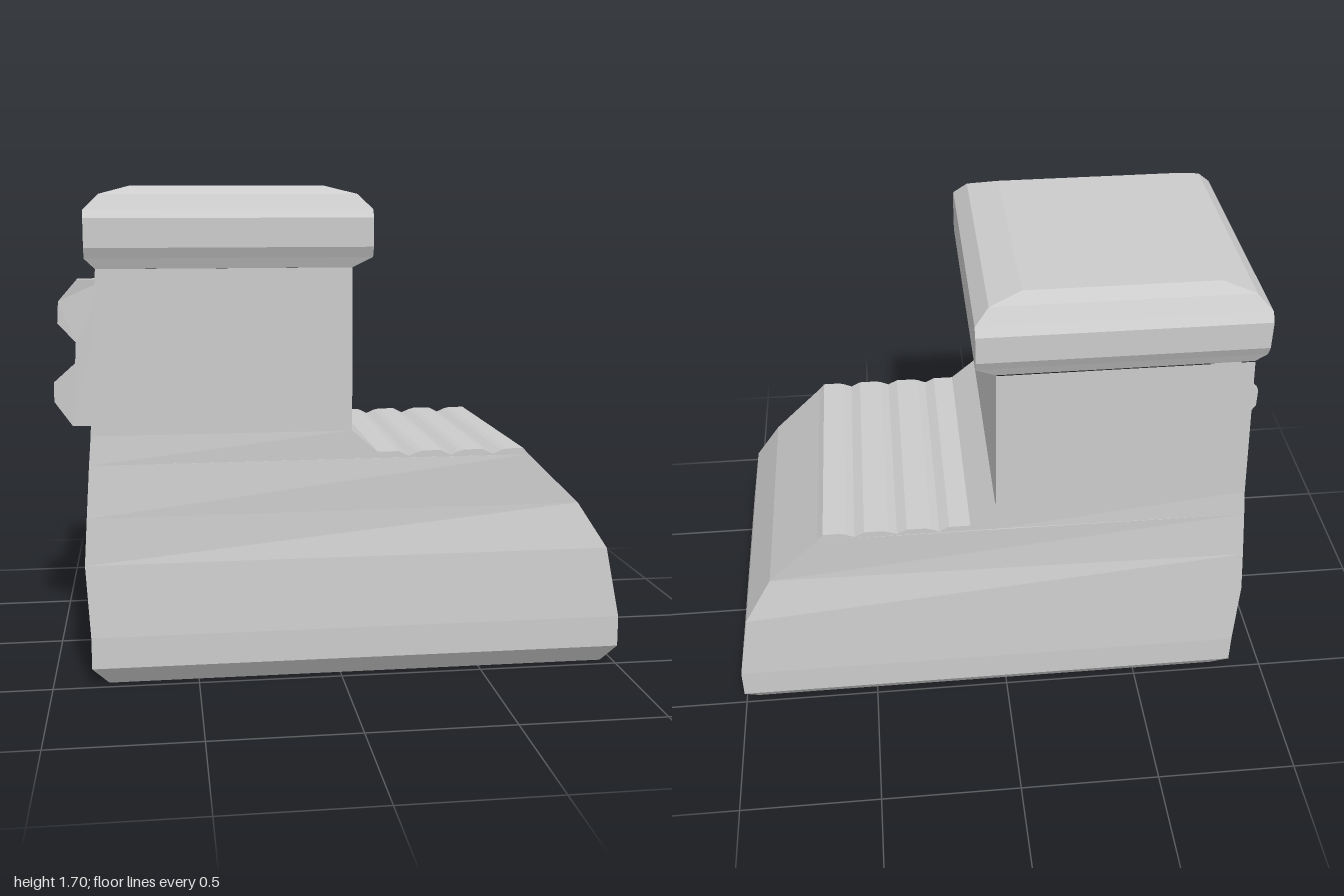
import * as THREE from 'three';

const material = new THREE.MeshStandardMaterial({ color: 0xcccccc, flatShading: true });
const Z0 = -0.005; // slight sideways offset of the upper parts

// Stacks four-cornered sections: [y, xBack, xFront, halfWidthBack, halfWidthFront = halfWidthBack]
function loft(name, rows, { top = false, bottom = false } = {}) {
  const rings = rows.map(([y, xb, xf, wb, wf = wb]) => [
    [xb, y, Z0 + wb], [xf, y, Z0 + wf], [xf, y, Z0 - wf], [xb, y, Z0 - wb],
  ]);
  const pos = [];
  const quad = (a, b, c, d) => pos.push(...a, ...b, ...c, ...a, ...c, ...d);
  for (let i = 0; i + 1 < rings.length; i++) {
    const lo = rings[i], hi = rings[i + 1];
    for (let k = 0; k < 4; k++) {
      const n = (k + 1) % 4;
      quad(lo[k], lo[n], hi[n], hi[k]);
    }
  }
  if (top) quad(...rings[rings.length - 1]);
  if (bottom) quad(...[...rings[0]].reverse());
  const geo = new THREE.BufferGeometry();
  geo.setAttribute('position', new THREE.Float32BufferAttribute(pos, 3));
  geo.computeVertexNormals();
  const mesh = new THREE.Mesh(geo, material);
  mesh.name = name;
  return mesh;
}

// Extrudes a side outline to both sides of z = 0
function slab(name, points, halfWidth) {
  const shape = new THREE.Shape(points.map(([x, y]) => new THREE.Vector2(x, y)));
  const geo = new THREE.ExtrudeGeometry(shape, { depth: 2 * halfWidth, bevelEnabled: false });
  geo.translate(0, 0, -halfWidth);
  const mesh = new THREE.Mesh(geo, material);
  mesh.name = name;
  return mesh;
}

export function createModel() {
  const boot = new THREE.Group();
  boot.name = 'boot';

  // Foot with bevelled sole and sloping toe
  boot.add(loft('foot', [
    [0, -0.81, 0.955, 0.465],
    [0.07, -0.865, 1, 0.517],
    [0.18, -0.865, 1, 0.517],
    [0.43, -0.88, 0.955, 0.497],
    [0.59, -0.87, 0.855, 0.485, 0.46],
    [0.77, -0.858, 0.67, 0.468, 0.46],
  ], { top: true, bottom: true }));

  // Leg
  boot.add(loft('leg', [
    [0.77, -0.858, 0.04, 0.468, 0.46],
    [0.87, -0.85, 0.04, 0.46],
    [1.43, -0.82, 0.04, 0.46],
  ]));

  // Ridged instep: flat ridges separated by shallow grooves
  const instep = [[0.04, 0.77], [0.67, 0.77], [0.65, 0.793]];
  for (const x of [0.54, 0.39, 0.24]) {
    instep.push([x + 0.05, 0.793], [x + 0.03, 0.788], [x, 0.775], [x - 0.035, 0.793]);
  }
  instep.push([0.13, 0.793], [0.04, 0.87]);
  const ridges = slab('instepRidges', instep, 0.46);
  ridges.position.z = Z0;
  boot.add(ridges);

  // Closed cuff with bevels above and below
  boot.add(loft('cuff', [
    [1.43, -0.82, 0.04, 0.455],
    [1.465, -0.855, 0.108, 0.47],
    [1.5, -0.855, 0.108, 0.487],
    [1.597, -0.855, 0.108, 0.487],
    [1.625, -0.855, 0.108, 0.465],
    [1.675, -0.805, 0.06, 0.43],
    [1.703, -0.7, -0.05, 0.385],
  ], { top: true, bottom: true }));

  // Two-lobed tab on the heel side, thinner towards its outer edge
  const tab = slab('heelTab', [
    [-0.8, 1.37], [-0.905, 1.37], [-0.975, 1.29], [-0.98, 1.21], [-0.915, 1.14],
    [-0.92, 1.06], [-1, 0.99], [-1, 0.92], [-0.935, 0.83], [-0.83, 0.83],
  ], 0.03);
  const p = tab.geometry.attributes.position;
  for (let i = 0; i < p.count; i++) {
    const t = THREE.MathUtils.clamp((-0.9 - p.getX(i)) / 0.1, 0, 1);
    p.setZ(i, p.getZ(i) * (1 - 0.55 * t));
  }
  tab.geometry.computeVertexNormals();
  tab.position.z = -0.01;
  boot.add(tab);

  return boot;
}
